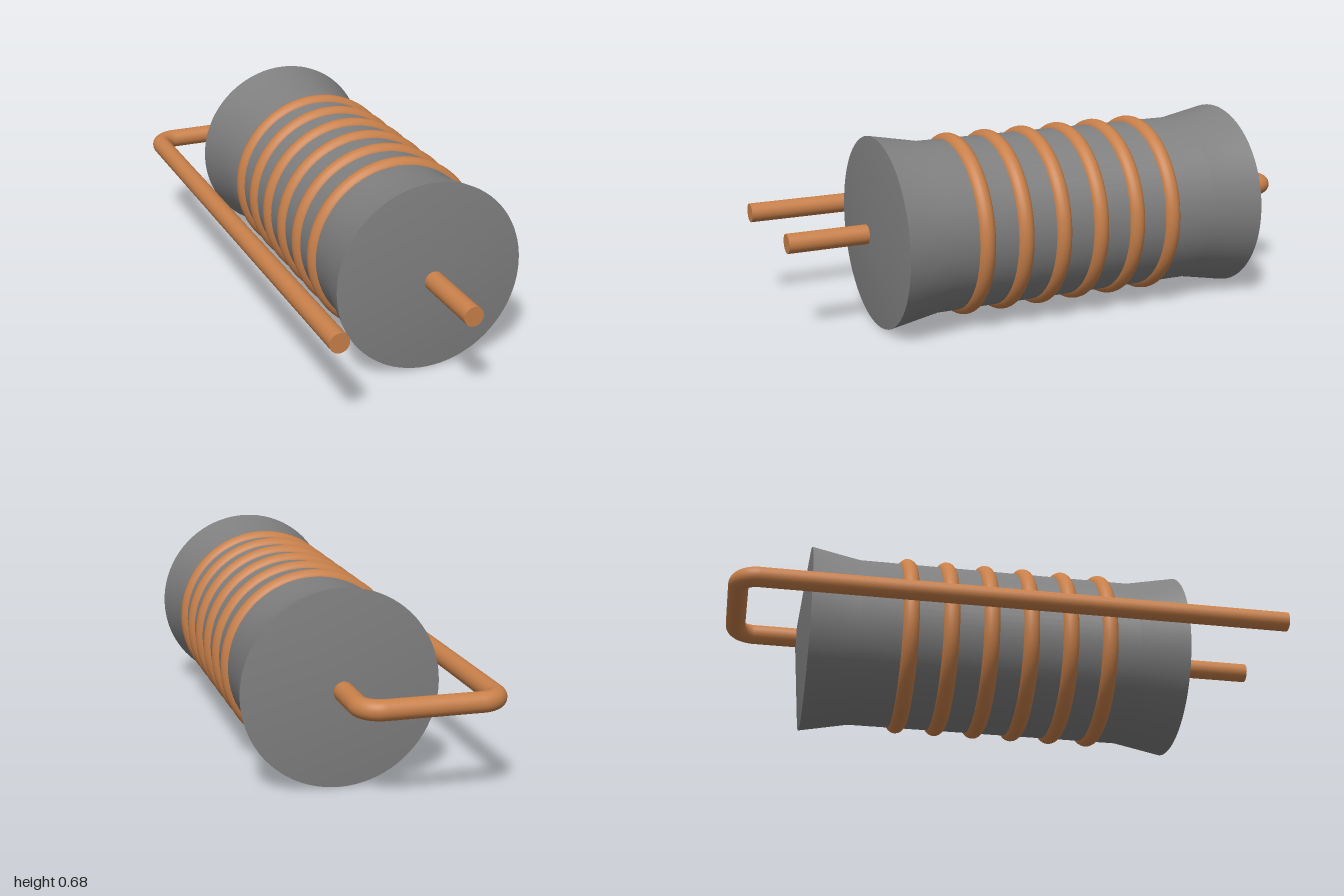
import * as THREE from 'three';
import { toCreasedNormals } from 'three/addons/utils/BufferGeometryUtils.js';

const AXIS_X = 0.08, AXIS_Y = 0.343;   // axis of the body
const LEAD_X = -0.387, BACK_Z = -0.965; // folded-back lead
const WIRE = 0.035, BEND = 0.07;

export function createModel() {
  const model = new THREE.Group();
  const grey = new THREE.MeshStandardMaterial({ color: 0x808080 });
  const copper = new THREE.MeshStandardMaterial({ color: 0xc8804a });

  const add = (name, geometry, material, x, z) => {
    const mesh = new THREE.Mesh(geometry, material);
    mesh.name = name;
    mesh.position.set(x, AXIS_Y, z);
    model.add(mesh);
  };

  // Body: waisted spool with shallow conical ends, turned around z
  const profile = [
    [0, -0.73], [0.342, -0.693], [0.308, -0.512],
    [0.308, 0.512], [0.342, 0.693], [0, 0.73],
  ].map(([r, h]) => new THREE.Vector2(r, h));
  const body = new THREE.LatheGeometry(profile, 80).rotateX(Math.PI / 2);
  add('body', toCreasedNormals(body, 0.6), grey, AXIS_X, -0.015);

  // Six colour bands around the waist
  for (let i = 0; i < 6; i++) {
    add('band' + (i + 1), new THREE.TorusGeometry(0.296, 0.032, 20, 80), copper, AXIS_X, 0.383 - i * 0.1465);
  }

  // Straight wire along z or x
  const rod = (name, length, x, z, alongX) => {
    const g = new THREE.CylinderGeometry(WIRE, WIRE, length, 32);
    if (alongX) g.rotateZ(Math.PI / 2); else g.rotateX(Math.PI / 2);
    add(name, g, copper, x, z);
  };
  // Quarter bend in the horizontal plane
  const elbow = (name, x, z, start) => {
    const g = new THREE.TorusGeometry(BEND, WIRE, 32, 16, Math.PI / 2);
    add(name, g.rotateZ(start).rotateX(Math.PI / 2), copper, x, z);
  };

  const bendZ = BACK_Z + BEND;
  rod('frontLead', 0.35, AXIS_X, 0.825);
  rod('backLead', -0.7 - bendZ, AXIS_X, (bendZ - 0.7) / 2);
  elbow('backBend', AXIS_X - BEND, bendZ, -Math.PI / 2);
  rod('crossWire', AXIS_X - LEAD_X - 2 * BEND, (AXIS_X + LEAD_X) / 2, BACK_Z, true);
  elbow('sideBend', LEAD_X + BEND, bendZ, Math.PI);
  rod('returnLead', 1 - bendZ, LEAD_X, (1 + bendZ) / 2);

  return model;
}
